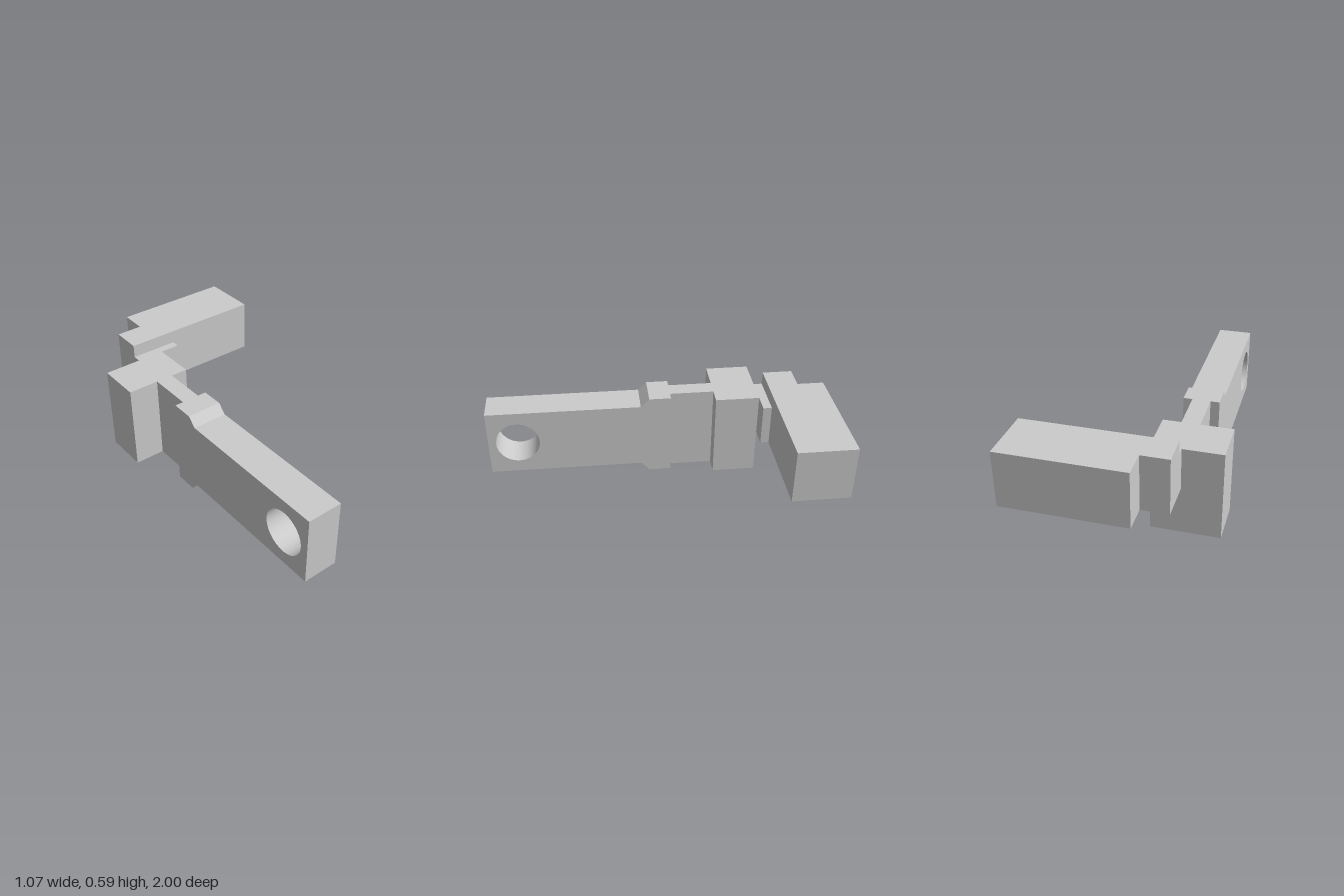
import * as THREE from 'three';
import { toCreasedNormals } from 'three/addons/utils/BufferGeometryUtils.js';

const material = new THREE.MeshStandardMaterial({ color: 0xcccccc });

function outline(points) {
  return new THREE.Shape(points.map(([a, b]) => new THREE.Vector2(a, b)));
}

function extrude(shape, depth) {
  return new THREE.ExtrudeGeometry(shape, { depth, bevelEnabled: false, curveSegments: 48 });
}

// Prism with a plan outline of [x, z] points between heights y0 and y1
function planPrism(name, points, y0, y1) {
  const geometry = extrude(outline(points.map(([x, z]) => [x, -z])), y1 - y0);
  geometry.rotateX(-Math.PI / 2).translate(0, y0, 0);
  const mesh = new THREE.Mesh(geometry, material);
  mesh.name = name;
  return mesh;
}

export function createModel() {
  const group = new THREE.Group();
  group.name = 'hookedLever';
  const top = 0.514;

  // Long arm: side profile with a flared root and a cross hole
  const profile = outline([
    [1, 0.055], [1, 0.464], [0.08, 0.464], [0.03, top],
    [-0.1, top], [-0.1, 0], [0.03, 0], [0.08, 0.055],
  ]);
  profile.holes.push(new THREE.Path().absarc(0.824, 0.26, 0.13, 0, Math.PI * 2, true));
  const armGeometry = extrude(profile, 0.204);
  armGeometry.rotateY(-Math.PI / 2).translate(-0.201, 0, 0);
  const arm = new THREE.Mesh(toCreasedNormals(armGeometry, 0.4), material);
  arm.name = 'arm';
  group.add(arm);

  // Narrow neck running into the cross block
  group.add(planPrism('neckAndCrossBlock', [
    [-0.354, -0.1], [-0.354, -0.362], [-0.534, -0.362], [-0.534, -0.62],
    [-0.151, -0.62], [-0.151, -0.362], [-0.252, -0.362], [-0.252, -0.1],
  ], 0, top));

  // Thin plate joining the cross block to the side bar
  group.add(planPrism('joiningPlate', [
    [-0.314, -0.62], [-0.314, -0.67], [-0.034, -0.67], [-0.034, -0.62],
  ], 0.273, top));

  // Stepped bar reaching out to the side
  group.add(planPrism('sideBar', [
    [-0.314, -0.67], [-0.314, -0.845], [-0.16, -0.845],
    [-0.16, -1], [0.532, -1], [0.532, -0.67],
  ], 0.273, 0.591));

  return group;
}
